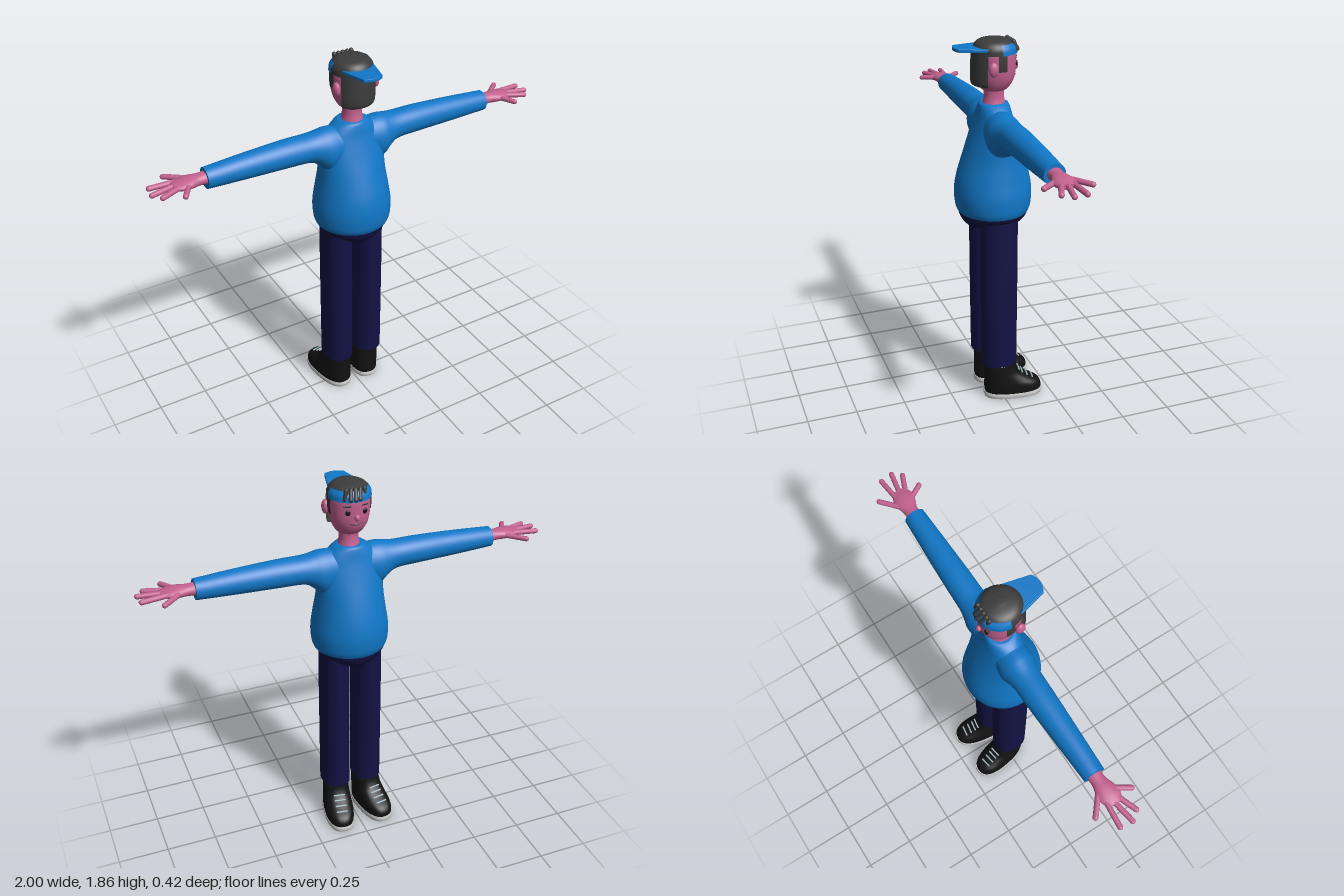
import * as THREE from 'three';

const mat = (color) => new THREE.MeshStandardMaterial({ color, side: THREE.DoubleSide });
const BLUE = mat(0x1178c8), NAVY = mat(0x121244), SKIN = mat(0xc4628f), BLACK = mat(0x121212);
const HAIR = mat(0x3c3c3c), LIGHT = mat(0xc4c4c4), LACE = mat(0x9fb6be);
const { PI } = Math;

function add(parent, name, geometry, material, x = 0, y = 0, z = 0) {
  const mesh = new THREE.Mesh(geometry, material);
  mesh.name = name;
  mesh.position.set(x, y, z);
  parent.add(mesh);
  return mesh;
}

// Smooth loft of oval rings [y, centreX, centreZ, radiusX, radiusZ], listed bottom to top.
// A power below 1 squares the oval; an arc shorter than a full turn makes an open shell.
function loft(rings, { power = 1, from = 0, to = 2 * PI, sides = 40 } = {}) {
  const closed = to - from > 6.28;
  const centres = new THREE.CatmullRomCurve3(rings.map((r) => new THREE.Vector3(r[1], r[0], r[2])), false, 'catmullrom');
  const radii = new THREE.CatmullRomCurve3(rings.map((r) => new THREE.Vector3(r[3], r[0], r[4])), false, 'catmullrom');
  const rows = (rings.length - 1) * 4, cols = closed ? sides : sides + 1;
  const pos = [], index = [];
  const oval = (v) => Math.sign(v) * Math.abs(v) ** power;
  const ring = (t) => {
    const c = centres.getPoint(t), r = radii.getPoint(t);
    for (let j = 0; j < cols; j++) {
      const a = from + (to - from) * j / sides;
      pos.push(c.x + r.x * oval(Math.cos(a)), c.y, c.z + r.z * oval(Math.sin(a)));
    }
    return c;
  };
  for (let i = 0; i <= rows; i++) ring(i / rows);
  for (let i = 0; i < rows; i++) {
    for (let j = 0; j < sides; j++) {
      const k = (j + 1) % cols, a = i * cols, b = a + cols;
      index.push(a + j, b + j, a + k, b + j, b + k, a + k);
    }
  }
  // flat caps with their own vertices keep the end edges sharp
  if (closed) {
    for (const t of [0, 1]) {
      const start = pos.length / 3, c = ring(t), mid = pos.length / 3;
      pos.push(c.x, c.y, c.z);
      for (let j = 0; j < sides; j++) {
        const p = start + j, q = start + (j + 1) % sides;
        index.push(mid, t ? q : p, t ? p : q);
      }
    }
  }
  const g = new THREE.BufferGeometry();
  g.setAttribute('position', new THREE.Float32BufferAttribute(pos, 3));
  g.setIndex(index);
  g.computeVertexNormals();
  return g;
}

// Sideways loft from rings [x, centreY, centreZ, radiusY, radiusZ]; s is the side (+1 or -1)
const sideLoft = (s, rings, opts) =>
  loft(rings.map(([x, y, z, ry, rz]) => [x, -s * y, z, ry, rz]), opts).rotateZ(-s * PI / 2);

// Rounded rod between two points
function rod(parent, name, a, b, r, material) {
  const A = new THREE.Vector3(...a), B = new THREE.Vector3(...b), d = B.clone().sub(A);
  const m = add(parent, name, new THREE.CapsuleGeometry(r, d.length(), 6, 12), material);
  m.position.copy(A).add(B).multiplyScalar(0.5);
  m.quaternion.setFromUnitVectors(new THREE.Vector3(0, 1, 0), d.normalize());
  return m;
}

function ball(parent, name, material, [x, y, z], [sx, sy, sz]) {
  const m = add(parent, name, new THREE.SphereGeometry(1, 20, 14), material, x, y, z);
  m.scale.set(sx, sy, sz);
  return m;
}

function makeArm(s) {
  const arm = new THREE.Group();
  arm.name = s > 0 ? 'leftArm' : 'rightArm';
  add(arm, 'sleeve', sideLoft(s, [
    [0.07, 1.435, 0.01, 0.1, 0.08], [0.14, 1.43, 0.01, 0.108, 0.086], [0.18, 1.444, 0.008, 0.088, 0.077],
    [0.23, 1.457, 0.006, 0.069, 0.069], [0.35, 1.46, 0.006, 0.066, 0.066], [0.55, 1.458, 0.008, 0.059, 0.058],
    [0.738, 1.455, 0.01, 0.049, 0.05]]), BLUE);
  add(arm, 'palm', sideLoft(s, [
    [0.72, 1.458, 0.01, 0.031, 0.036], [0.77, 1.459, 0.01, 0.026, 0.034], [0.81, 1.46, 0.012, 0.025, 0.046],
    [0.85, 1.46, 0.014, 0.021, 0.05], [0.89, 1.46, 0.016, 0.012, 0.033]]), SKIN);
  // thumb first, then four spread fingers: base x, z and tip x, z
  const digits = [[0.8, -0.012, 0.892, -0.09], [0.86, -0.015, 0.98, -0.026], [0.87, 0.012, 0.988, 0.033],
    [0.85, 0.032, 0.955, 0.074], [0.82, 0.036, 0.868, 0.112]];
  digits.forEach(([x1, z1, x2, z2], i) =>
    rod(arm, i ? 'finger' : 'thumb', [s * x1, 1.462, z1], [s * x2, 1.457, z2], 0.0125, SKIN));
  return arm;
}

function makeLeg(s) {
  const leg = new THREE.Group();
  leg.name = s > 0 ? 'leftLeg' : 'rightLeg';
  leg.position.x = s * 0.085 - 0.007;
  add(leg, 'trouserLeg', loft([
    [0.195, 0, 0.012, 0.073, 0.089], [0.5, 0, 0.012, 0.072, 0.091],
    [0.8, 0, 0.012, 0.071, 0.092], [1.0, 0, 0.012, 0.069, 0.092]], { power: 0.85 }), NAVY);
  add(leg, 'sock', new THREE.CylinderGeometry(0.058, 0.058, 0.07, 28), LIGHT, 0, 0.175, 0.01);

  // shoe, with the toe towards -z and turned a little outwards
  const shoe = new THREE.Group();
  shoe.name = 'shoe';
  shoe.rotation.y = -s * 0.16;
  leg.add(shoe);
  const shell = (rows) => loft(rows.map(([y, toe, heel, w]) =>
    [y, 0, (toe + heel) / 2, w, (heel - toe) / 2]), { power: 0.8 });
  add(shoe, 'sole', shell([[0, -0.212, 0.088, 0.074], [0.014, -0.216, 0.092, 0.077], [0.028, -0.214, 0.09, 0.075]]), LIGHT);
  add(shoe, 'upper', shell([
    [0.025, -0.209, 0.086, 0.073], [0.05, -0.208, 0.088, 0.074], [0.075, -0.19, 0.087, 0.073],
    [0.1, -0.145, 0.086, 0.07], [0.13, -0.1, 0.085, 0.067], [0.16, -0.08, 0.085, 0.065],
    [0.183, -0.072, 0.085, 0.064]]), BLACK);
  for (const [y, z] of [[0.092, -0.161], [0.108, -0.133], [0.125, -0.108], [0.145, -0.09]]) {
    rod(shoe, 'lace', [-0.026, y, z], [0.026, y, z], 0.0045, LACE);
  }
  return leg;
}

function makeHead() {
  const head = new THREE.Group();
  head.name = 'head';
  add(head, 'neck', loft([[1.53, 0, 0.01, 0.06, 0.062], [1.565, 0, 0.01, 0.049, 0.052],
    [1.6, 0, 0.01, 0.045, 0.047], [1.66, 0, 0.01, 0.048, 0.05]]), SKIN);
  add(head, 'face', loft([
    [1.615, 0, 0.008, 0.035, 0.04], [1.626, 0, 0.008, 0.06, 0.064], [1.66, 0, 0.005, 0.081, 0.085],
    [1.7, 0, 0.004, 0.092, 0.095], [1.75, 0, 0.004, 0.096, 0.098], [1.8, 0, 0.004, 0.095, 0.097],
    [1.84, 0, 0.005, 0.075, 0.08]]), SKIN);
  // point on the front of the face, pushed out by d
  const onFace = (x, y, d = 0) => {
    const r = y < 1.7 ? 0.093 : 0.098;
    return [x, y, 0.004 - r * Math.sqrt(1 - (x / 0.095) ** 2) - d];
  };
  ball(head, 'nose', SKIN, onFace(0, 1.72, 0.003), [0.013, 0.016, 0.013]);
  for (const s of [-1, 1]) {
    ball(head, 'ear', SKIN, [s * 0.1, 1.735, 0.045], [0.017, 0.034, 0.024]);
    ball(head, 'eye', BLACK, onFace(s * 0.04, 1.745), [0.012, 0.014, 0.007]);
    rod(head, 'eyebrow', onFace(s * 0.028, 1.776), onFace(s * 0.055, 1.772), 0.004, HAIR);
    rod(head, 'mouth', onFace(0, 1.683), onFace(s * 0.025, 1.688), 0.003, HAIR);
    // sideburn
    const mid = s > 0 ? 0 : PI;
    add(head, 'sideburn', loft([[1.72, 0, 0, 0.098, 0.104], [1.76, 0, 0, 0.102, 0.104], [1.81, 0, 0, 0.1, 0.104]],
      { from: mid - 0.2, to: mid + 0.2, sides: 6 }), HAIR);
  }
  // hair down the back of the head
  add(head, 'backHair', loft([
    [1.648, 0, 0.01, 0.08, 0.08], [1.653, 0, 0.012, 0.1, 0.106], [1.72, 0, 0.012, 0.104, 0.108],
    [1.81, 0, 0.01, 0.103, 0.106]], { from: PI / 2 - 1.02, to: PI / 2 + 1.02 }), HAIR);
  // crown, with the coloured panel wrapping the face side
  const crown = (grow) => [
    [1.795, 0, 0.007, 0.1 + grow, 0.104 + grow], [1.82, 0, 0.008, 0.097 + grow, 0.101 + grow],
    [1.842, 0, 0.009, 0.083 + grow, 0.087 + grow], [1.856, 0, 0.01, 0.058 + grow, 0.062 + grow]];
  add(head, 'crown', loft([...crown(0), [1.864, 0, 0.01, 0.012, 0.014]]), HAIR);
  add(head, 'capPanel', loft(crown(0.003).slice(0, 3), { from: PI + 0.06, to: 2 * PI - 0.06 }), BLUE);
  // short fringe locks
  for (let i = -2; i <= 2; i++) {
    const x = i * 0.022;
    rod(head, 'fringeLock', [x, 1.846, -0.072], [x + 0.008, 1.808, -0.1 + 0.006 * i * i], 0.0105, HAIR);
  }
  // cap brim pointing to +z
  const shape = new THREE.Shape();
  shape.moveTo(-0.078, 0.06);
  shape.lineTo(-0.045, 0.19);
  shape.quadraticCurveTo(0, 0.218, 0.045, 0.19);
  shape.lineTo(0.078, 0.06);
  const brim = new THREE.ExtrudeGeometry(shape, {
    depth: 0.01, bevelSize: 0.003, bevelThickness: 0.003, bevelSegments: 2, curveSegments: 12 });
  add(head, 'brim', brim.rotateX(PI / 2), BLUE, 0, 1.822, 0).rotation.x = -0.03;
  return head;
}

export function createModel() {
  const model = new THREE.Group();
  model.name = 'figure';
  add(model, 'sweater', loft([
    [1.02, 0, 0.015, 0.178, 0.172], [1.05, 0, 0.015, 0.187, 0.183], [1.12, 0, 0.015, 0.189, 0.188],
    [1.2, 0, 0.015, 0.177, 0.176], [1.3, 0, 0.012, 0.164, 0.146], [1.4, 0, 0.01, 0.162, 0.112],
    [1.48, 0, 0.009, 0.146, 0.087], [1.525, 0, 0.009, 0.11, 0.077], [1.55, 0, 0.009, 0.076, 0.07],
    [1.557, 0, 0.009, 0.058, 0.06]]), BLUE, -0.005);
  add(model, 'hips', loft([
    [0.918, 0, 0.014, 0.02, 0.05], [0.93, 0, 0.014, 0.06, 0.1], [0.96, 0, 0.014, 0.12, 0.142],
    [1.0, 0, 0.014, 0.165, 0.166], [1.035, 0, 0.014, 0.172, 0.17]]), NAVY, -0.007);
  for (const s of [-1, 1]) model.add(makeArm(s), makeLeg(s));
  model.add(makeHead());
  return model;
}
